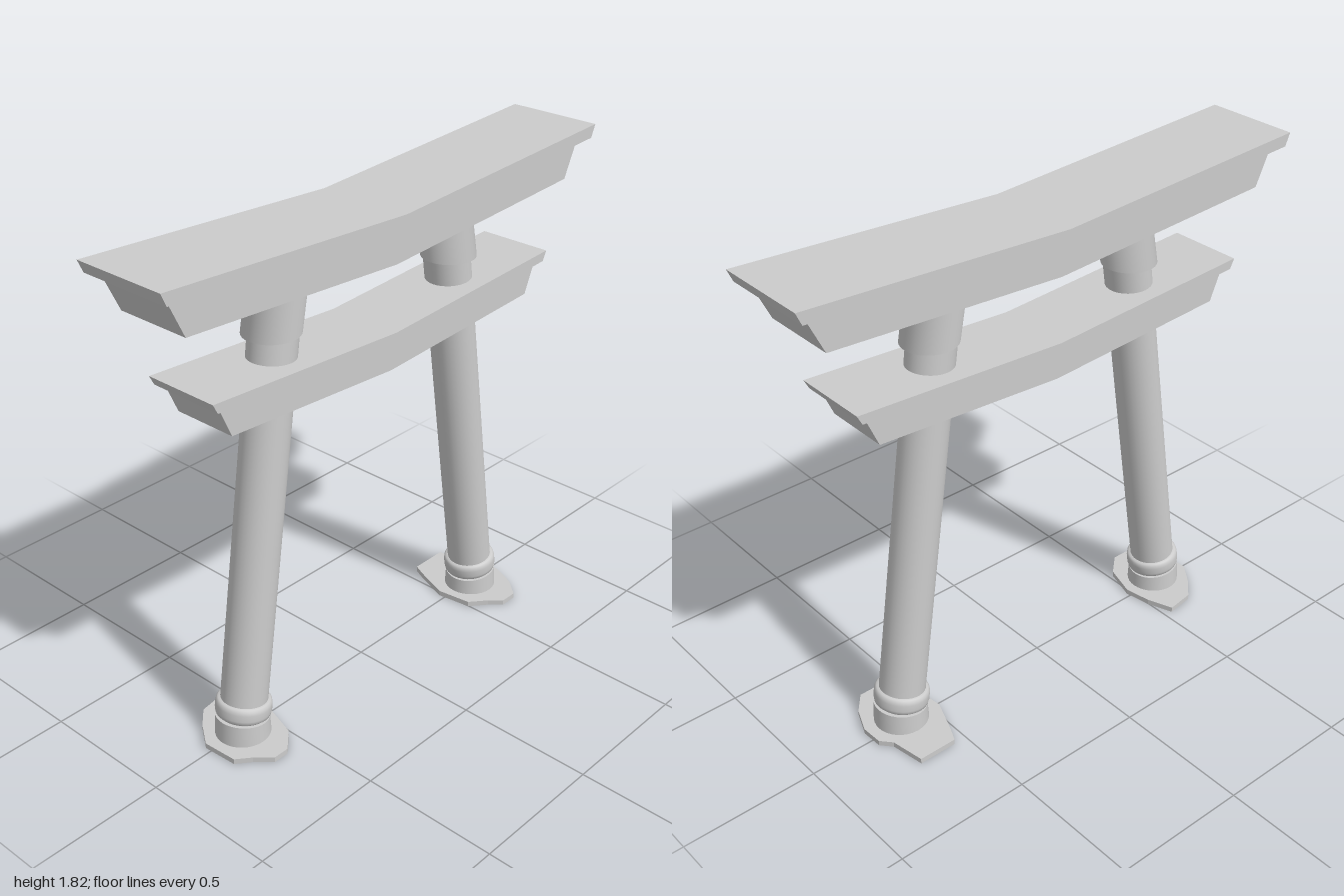
import * as THREE from 'three';

const material = new THREE.MeshStandardMaterial({ color: 0xcccccc, side: THREE.DoubleSide });
const Z = 0.016;      // depth centre of the gate
const LEAN = 0.145;   // inward lean of the pillars per unit of height

function add(parent, name, geometry) {
  const mesh = new THREE.Mesh(geometry, material);
  mesh.name = name;
  parent.add(mesh);
  return mesh;
}

function polygon(points) {
  return new THREE.Shape(points.map(([x, y]) => new THREE.Vector2(x, y)));
}

// Bent bar: half widths and heights at the ends and the middle
function bentBar(parent, name, topX, topEnd, topMid, lowX, lowEnd, lowMid, zMin, zMax) {
  const shape = polygon([
    [-lowX, lowEnd], [0, lowMid], [lowX, lowEnd],
    [topX, topEnd], [0, topMid], [-topX, topEnd],
  ]);
  const geometry = new THREE.ExtrudeGeometry(shape, { depth: zMax - zMin, bevelEnabled: false });
  geometry.translate(0, 0, zMin);
  add(parent, name, geometry);
}

// Move every vertex by a rule
function warp(geometry, rule) {
  const p = geometry.attributes.position;
  for (let i = 0; i < p.count; i++) {
    const [x, y, z] = rule(p.getX(i), p.getY(i), p.getZ(i));
    p.setXYZ(i, x, y, z);
  }
  return geometry;
}

// Irregular slab outlines as [x, z] around the pillar foot
const slabs = {
  left: [
    [-0.02, 0.184], [0.045, 0.184], [0.1, 0.12], [0.138, 0.03], [0.135, -0.05], [0.1, -0.09],
    [0.078, -0.216], [-0.067, -0.216], [-0.09, -0.165], [-0.137, -0.04], [-0.12, 0.09], [-0.06, 0.14],
  ],
  right: [
    [-0.03, 0.184], [0.03, 0.184], [0.1, 0.12], [0.137, 0], [0.12, -0.1], [0.085, -0.195],
    [-0.02, -0.18], [-0.08, -0.12], [-0.138, -0.04], [-0.13, 0.09], [-0.08, 0.13],
  ],
};

function buildPillar(side) {
  const s = side === 'left' ? 1 : -1;
  const pillar = new THREE.Group();
  pillar.name = side + 'Pillar';

  // Leaning shaft with a rounded ring near the foot
  const leaning = new THREE.Group();
  leaning.name = side + 'Shaft';
  leaning.position.set(s * 0.628, 0, Z);
  leaning.rotation.z = s * Math.atan(LEAN);
  const shaft = new THREE.CylinderGeometry(0.082, 0.082, 1.6, 32);
  shaft.translate(0, 0.87, 0);
  add(leaning, 'shaft', shaft);
  const ringProfile = [
    [0.07, 0.092], [0.086, 0.094], [0.095, 0.102], [0.098, 0.115],
    [0.098, 0.138], [0.096, 0.15], [0.09, 0.157], [0.08, 0.159],
  ];
  add(leaning, 'footRing', new THREE.LatheGeometry(
    ringProfile.map(([r, y]) => new THREE.Vector2(r, y)), 32));
  pillar.add(leaning);

  // Upright drum whose top is cut square to the shaft
  const drum = new THREE.CylinderGeometry(0.094, 0.098, 0.09, 32);
  drum.translate(0, 0.045, 0);
  warp(drum, (x, y, z) => [x, y > 0.05 ? y + s * LEAN * x : y, z]);
  add(pillar, 'footDrum', drum).position.set(s * 0.617, 0, Z);

  // Collar under the top beam, slanted but cut level
  const collar = new THREE.CylinderGeometry(0.097, 0.097, 0.2, 32);
  collar.translate(0, 0.1, 0);
  warp(collar, (x, y, z) => [x - s * 0.19 * y, y, z]);
  add(pillar, 'collar', collar).position.set(s * 0.426, 1.457, Z);

  // Thin stone slab around the drum
  const outline = polygon(slabs[side].map(([x, z]) => [x, -z]));
  const hole = new THREE.Path();
  hole.absarc(0, 0, 0.097, 0, Math.PI * 2, true);
  outline.holes.push(hole);
  const slab = new THREE.ExtrudeGeometry(outline, { depth: 0.02, bevelEnabled: false, curveSegments: 16 });
  slab.rotateX(-Math.PI / 2);
  add(pillar, 'footSlab', slab).position.set(s * 0.617, 0, Z);
  return pillar;
}

export function createModel() {
  const gate = new THREE.Group();
  gate.name = 'gate';

  // Top beam
  bentBar(gate, 'topBeamCap', 1.0, 1.82, 1.765, 0.98, 1.775, 1.722, -0.16, 0.192);
  bentBar(gate, 'topBeam', 0.952, 1.775, 1.724, 0.888, 1.64, 1.588, -0.122, 0.154);

  // Lower beam
  bentBar(gate, 'lowerBeamCap', 0.803, 1.397, 1.352, 0.785, 1.362, 1.315, -0.124, 0.156);
  bentBar(gate, 'lowerBeam', 0.763, 1.362, 1.317, 0.715, 1.252, 1.21, -0.103, 0.135);

  for (const side of ['left', 'right']) gate.add(buildPillar(side));
  return gate;
}
